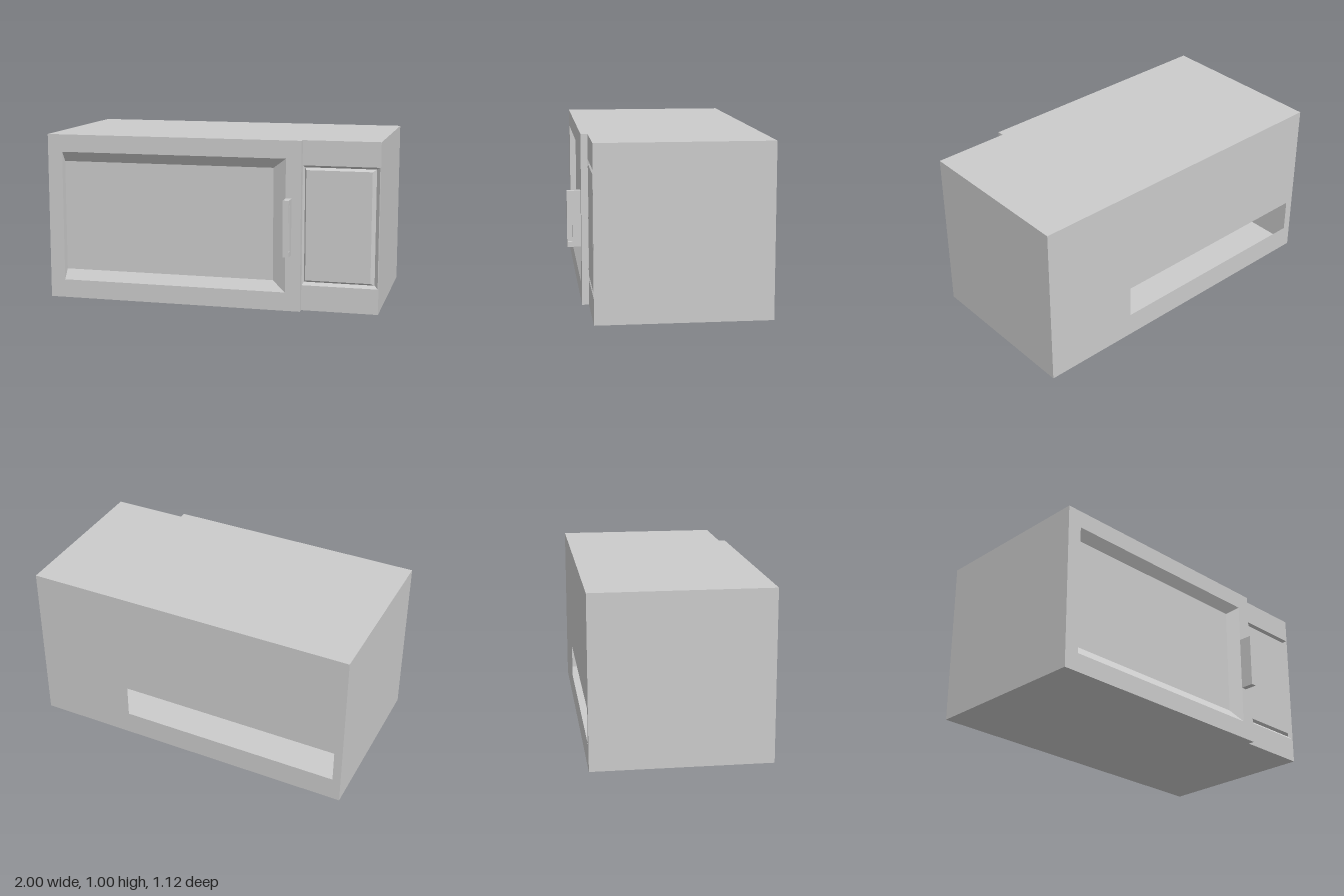
import * as THREE from 'three';

const material = new THREE.MeshStandardMaterial({ color: 0xcccccc, flatShading: true });
const thin = new THREE.MeshStandardMaterial({ color: 0xcccccc, flatShading: true, side: THREE.DoubleSide });

// Solid made of nested rectangles [x0, x1, y0, y1, z], from the back edge to the innermost front face
function ringSolid(rings) {
  const points = [];
  const index = [];
  for (const [x0, x1, y0, y1, z] of rings) points.push(x0, y0, z, x1, y0, z, x1, y1, z, x0, y1, z);
  index.push(0, 2, 1, 0, 3, 2);
  for (let r = 0; r < rings.length - 1; r++) {
    for (let i = 0; i < 4; i++) {
      const a = r * 4 + i, b = r * 4 + (i + 1) % 4;
      index.push(a, b, b + 4, a, b + 4, a + 4);
    }
  }
  const e = (rings.length - 1) * 4;
  index.push(e, e + 1, e + 2, e, e + 2, e + 3);
  const indexed = new THREE.BufferGeometry();
  indexed.setAttribute('position', new THREE.Float32BufferAttribute(points, 3));
  indexed.setIndex(index);
  const geometry = indexed.toNonIndexed();
  geometry.computeVertexNormals();
  return geometry;
}

function rectangle(x0, x1, y0, y1, Kind = THREE.Shape) {
  return new Kind([[x0, y0], [x1, y0], [x1, y1], [x0, y1]].map(p => new THREE.Vector2(...p)));
}

export function createModel() {
  const model = new THREE.Group();
  model.name = 'microwaveOven';
  const add = (name, geometry, mat = material) => {
    const mesh = new THREE.Mesh(geometry, mat);
    mesh.name = name;
    model.add(mesh);
    return mesh;
  };

  // Hollow casing
  const casing = rectangle(-1, 1, 0, 1);
  casing.holes.push(rectangle(-0.95, 0.95, 0.05, 0.95, THREE.Path));
  const casingGeometry = new THREE.ExtrudeGeometry(casing, { depth: 0.98, bevelEnabled: false });
  add('casing', casingGeometry.translate(0, 0, -0.56));

  // Thin back panel with the vent slot
  const back = rectangle(-1, 1, 0, 1);
  back.holes.push(rectangle(-0.95, 0.41, 0.145, 0.345, THREE.Path));
  add('backPanel', new THREE.ShapeGeometry(back).rotateY(Math.PI).scale(-1, 1, 1).translate(0, 0, -0.56), thin);

  // Door with a sunken window: steep left wall, sloped other sides
  add('door', ringSolid([
    [-1, 0.55, 0, 1, 0.42],
    [-1, 0.55, 0, 1, 0.48],
    [-0.91, 0.46, 0.11, 0.895, 0.48],
    [-0.908, 0.38, 0.17, 0.835, 0.44],
  ]));

  // Control panel framed by a V-shaped groove
  add('controlPanel', ringSolid([
    [0.55, 1, 0, 1, 0.42],
    [0.55, 1, 0, 1, 0.44],
    [0.552, 0.995, 0.15, 0.855, 0.44],
    [0.562, 0.975, 0.168, 0.842, 0.422],
    [0.572, 0.953, 0.18, 0.828, 0.44],
  ]));

  // Upright handle with a shallow pocket on its outer side
  add('handle', ringSolid([
    [-0.56, -0.475, 0.335, 0.665, 0.46],
    [-0.56, -0.475, 0.335, 0.665, 0.495],
    [-0.555, -0.53, 0.365, 0.635, 0.495],
    [-0.555, -0.53, 0.365, 0.635, 0.475],
  ]).rotateY(Math.PI / 2));

  return model;
}
